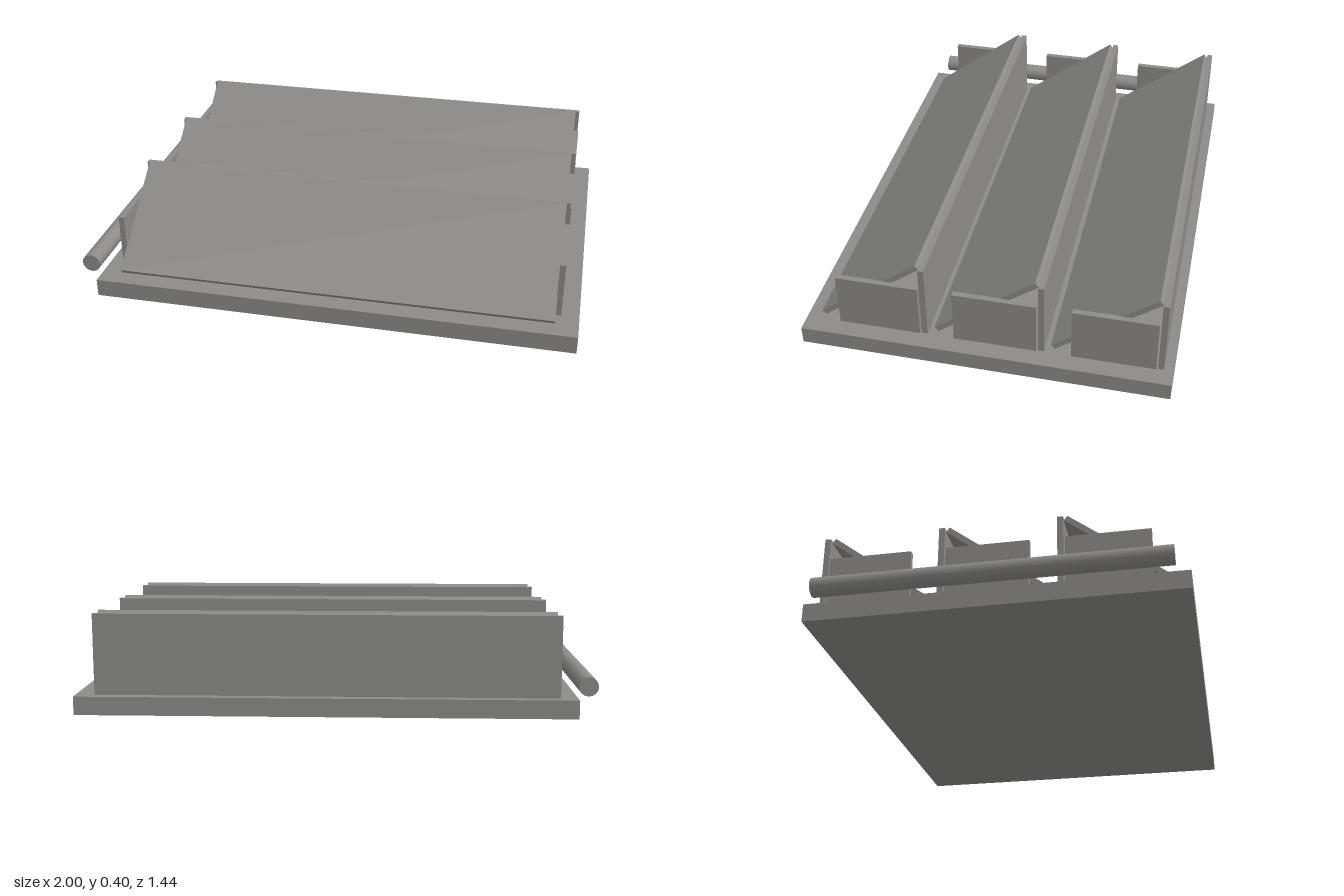
import * as THREE from 'three';

export function createModel() {
  const model = new THREE.Group();
  model.name = 'tiltedPanelArray';
  const grey = new THREE.MeshStandardMaterial({ color: 0x8c8b89 });
  grey.name = 'grey';

  const add = (parent, name, geometry, x, y, z) => {
    const mesh = new THREE.Mesh(geometry, grey);
    mesh.name = name;
    mesh.position.set(x, y, z);
    parent.add(mesh);
    return mesh;
  };
  const box = (w, h, d) => new THREE.BoxGeometry(w, h, d);

  // Base slab
  const baseTop = 0.072;
  add(model, 'baseSlab', box(1.922, baseTop, 1.436), 0.039, baseTop / 2, 0);

  // Three identical rows: sloping panel, upright back plate, two side plates
  const rowX = 0.035;
  const slope = 0.652;
  for (const [i, z] of [0.458, 0.002, -0.454].entries()) {
    const row = new THREE.Group();
    row.name = 'panelRow' + (i + 1);
    row.position.set(rowX, 0, z);
    model.add(row);

    const panel = add(row, 'slopingPanel', box(1.75, 0.023, 0.497), 0, 0.237, 0);
    panel.rotation.x = slope;

    const backHeight = 0.387 - baseTop;
    add(row, 'backPlate', box(1.782, backHeight, 0.023), 0, baseTop + backHeight / 2, -0.216);

    const sideHeight = 0.295 - baseTop;
    for (const s of [-1, 1]) {
      add(row, s < 0 ? 'rightSidePlate' : 'leftSidePlate',
        box(0.023, sideHeight, 0.322), s * 0.884, baseTop + sideHeight / 2, -0.037);
    }
  }

  // Pipe running along the side of the base
  const pipe = add(model, 'sidePipe', new THREE.CylinderGeometry(0.0375, 0.0375, 1.334, 16), -0.9625, 0.115, -0.002);
  pipe.rotation.x = Math.PI / 2;

  return model;
}
